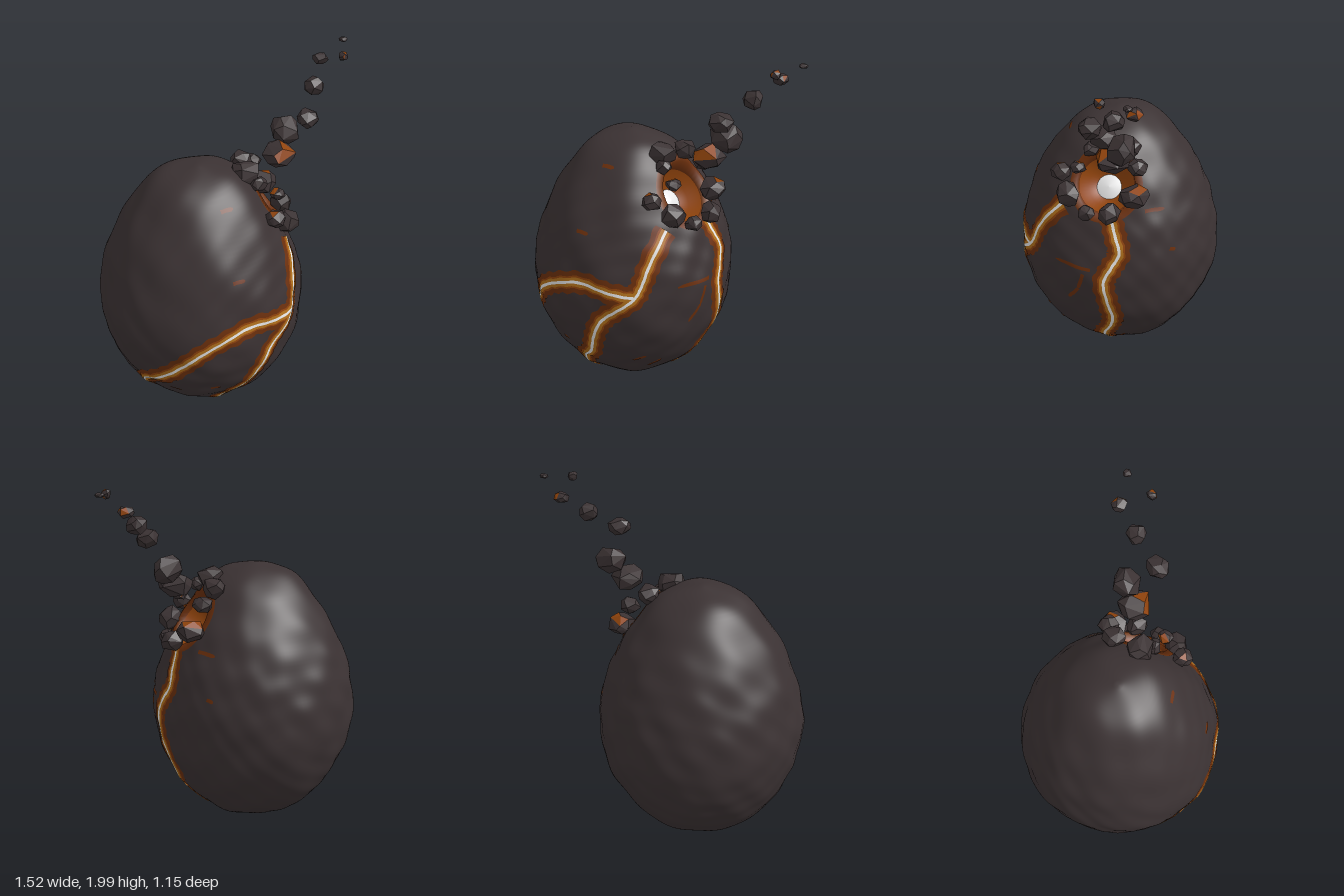
import * as THREE from 'three';
import { mergeVertices } from 'three/addons/utils/BufferGeometryUtils.js';
import { ConvexGeometry } from 'three/addons/geometries/ConvexGeometry.js';

const V = (x, y, z) => new THREE.Vector3(x, y, z);
const CENTRE = V(-0.19, 0.7, 0);

// Egg radius for every 15 degrees down from the top
const RADII = [0.83, 0.79, 0.702, 0.636, 0.596, 0.577, 0.574, 0.581, 0.596, 0.62, 0.65, 0.675, 0.69];
const radiusAt = new THREE.CubicInterpolant(RADII.map((_, i) => (i * Math.PI) / 12), RADII, 1, new Float32Array(1));

// Shell radius along a unit direction, with gentle lumps
function shellRadius(d) {
  const lumps =
    0.005 * Math.sin(7 * d.x + 3 * d.y + 1) * Math.sin(6 * d.z - 4 * d.y) +
    0.005 * Math.sin(13 * d.x - 5 * d.z) * Math.sin(11 * d.y + 6 * d.z + 2) +
    0.003 * Math.sin(21 * d.z + 9 * d.x) * Math.sin(19 * d.y - 8 * d.x);
  return radiusAt.evaluate(Math.acos(THREE.MathUtils.clamp(d.y, -1, 1)))[0] + lumps;
}

// Nearest shell point radially from p, raised by lift
function onShell(p, lift = 0) {
  const d = p.clone().sub(CENTRE).normalize();
  return d.multiplyScalar(shellRadius(d) + lift).add(CENTRE);
}

// Shell point met by a horizontal ray towards the front or the left side
function cast(face, a, y) {
  const at = (t) => (face === 'front' ? V(a, y, t) : V(CENTRE.x + t, y, a));
  let lo = 0, hi = 0.8;
  for (let i = 0; i < 24; i++) {
    const mid = (lo + hi) / 2, p = at(mid);
    if (p.distanceTo(CENTRE) < onShell(p).distanceTo(CENTRE)) lo = mid;
    else hi = mid;
  }
  return onShell(at(lo));
}

// Surface built from a grid of points
function gridGeometry(rows, cols, point) {
  const pos = [], index = [];
  for (let i = 0; i <= rows; i++)
    for (let j = 0; j <= cols; j++) {
      pos.push(...point(i, j).toArray());
      if (i < rows && j < cols) {
        const a = i * (cols + 1) + j, b = a + cols + 1;
        index.push(a, b, a + 1, b, b + 1, a + 1);
      }
    }
  const g = new THREE.BufferGeometry();
  g.setAttribute('position', new THREE.Float32BufferAttribute(pos, 3));
  g.setIndex(index);
  g.computeVertexNormals();
  return g;
}

// Thin ribbon that hugs the shell along a path
function ribbon(points, half, lift, steps) {
  const curve = new THREE.CatmullRomCurve3(points, false, 'centripetal');
  const cols = 6;
  return gridGeometry(steps, cols, (i, j) => {
    const t = i / steps;
    const p = curve.getPoint(t);
    const n = p.clone().sub(CENTRE).normalize();
    const side = n.cross(curve.getTangent(t)).normalize();
    const taper = Math.min(1, 0.35 + 10 * (1 - t));
    const ragged = 1 + 0.1 * Math.sin(i * 1.3 + (j < 3 ? 0 : 2));
    return onShell(p.addScaledVector(side, (j / cols - 0.5) * 2 * half * taper * ragged), lift);
  });
}

function seeded(seed) {
  return () => {
    seed = (seed * 16807) % 2147483647;
    return seed / 2147483647;
  };
}

// Faceted chunk; a glowing one has a few ember faces
function rockGeometry(seed, glowing) {
  const rnd = seeded(seed * 7919 + 13);
  const pts = [];
  for (let i = 0; i < 18; i++) {
    const y = 1 - (2 * (i + 0.5)) / 18, a = i * 2.4 + rnd() * 0.9, r = Math.sqrt(1 - y * y);
    pts.push(V(r * Math.cos(a), y, r * Math.sin(a)).multiplyScalar(0.88 + rnd() * 0.2));
  }
  const g = new ConvexGeometry(pts);
  const n = g.attributes.position.count, lit = glowing ? 9 : 0;
  g.addGroup(0, lit, 1);
  g.addGroup(lit, n - lit, 0);
  return g;
}

export function createModel() {
  const model = new THREE.Group();
  const mat = (name, color, extra = {}) => {
    const m = new THREE.MeshStandardMaterial({ color, ...extra });
    m.name = name;
    return m;
  };
  const rock = mat('darkRock', 0x3b3233);
  const ember = mat('darkEmber', 0x6b2f0c, { side: THREE.DoubleSide });
  const orange = mat('orangeGlow', 0x8f430c, { side: THREE.DoubleSide });
  const amber = mat('amberGlow', 0xb0701c, { side: THREE.DoubleSide });
  const white = mat('whiteHeat', 0xf2f2f2, { side: THREE.DoubleSide });
  const add = (name, geometry, material, parent = model) => {
    const m = new THREE.Mesh(geometry, material);
    m.name = name;
    parent.add(m);
    return m;
  };

  // Crater frame on the upper left of the shell
  const hole = onShell(CENTRE.clone().add(V(0.385, 0.55, 0.04)));
  const axis = V(0.78, 0.62, 0.06).normalize();
  const u = V(0, 0, 1).cross(axis).normalize();
  const v = axis.clone().cross(u);

  // Egg shell with the crater left open
  const shell = new THREE.SphereGeometry(1, 144, 96);
  shell.deleteAttribute('uv');
  shell.deleteAttribute('normal');
  const egg = mergeVertices(shell, 1e-4);
  const pos = egg.attributes.position, p = V(0, 0, 0);
  const open = [];
  for (let i = 0; i < pos.count; i++) {
    p.copy(onShell(p.fromBufferAttribute(pos, i).add(CENTRE)));
    pos.setXYZ(i, p.x, p.y, p.z);
    open.push(p.distanceTo(hole) < 0.165);
  }
  const kept = [], ids = egg.index.array;
  egg.computeVertexNormals();
  for (let i = 0; i < ids.length; i += 3) {
    const tri = [ids[i], ids[i + 1], ids[i + 2]];
    if (!tri.some((k) => open[k])) kept.push(...tri);
  }
  egg.setIndex(kept);
  add('eggShell', egg, rock);

  // Crater: rim on the shell, glowing wall, hot core
  const ring = (a, radius, depth) =>
    hole.clone().addScaledVector(u, Math.cos(a) * radius).addScaledVector(v, Math.sin(a) * radius)
      .addScaledVector(axis, -depth);
  const bowl = (levels) =>
    gridGeometry(40, levels.length - 1, (i, j) => {
      const [radius, depth] = levels[j], a = (i / 40) * Math.PI * 2;
      return depth <= 0 ? onShell(ring(a, radius, 0), -depth) : ring(a, radius, depth);
    });
  add('craterRim', bowl([[0.21, -0.004], [0.165, -0.003], [0.15, 0.06]]), ember);
  add('craterWall', bowl([[0.15, 0.06], [0.11, 0.12], [0.068, 0.15]]), orange);
  add('craterCore', bowl([[0.068, 0.15], [0.04, 0.14], [0, 0.135]]), white);

  // Glowing cracks, each four stacked bands
  const cracks = {
    mainCrack: ['front', [0.2, 1.11], [0.175, 0.945], [0.155, 0.84], [0.135, 0.78], [0.05, 0.7], [-0.035, 0.62],
      [-0.09, 0.5], [-0.14, 0.375], [-0.23, 0.275], [-0.26, 0.2], [-0.24, 0.11]],
    branchCrack: ['front', [0.135, 0.78], [0.01, 0.8], [-0.14, 0.825], [-0.31, 0.78], [-0.44, 0.7], [-0.52, 0.59],
      [-0.6, 0.47], [-0.635, 0.36], [-0.61, 0.27], [-0.55, 0.19], [-0.5, 0.15]],
    sideCrack: ['side', [0, 1.1], [-0.03, 1], [-0.055, 0.905], [-0.015, 0.825], [0.025, 0.735], [0.005, 0.6],
      [-0.02, 0.47], [0, 0.365], [0.035, 0.285], [0.035, 0.18], [0.015, 0.1]],
  };
  const bands = [['Ember', ember, 0.062, 0.003], ['Orange', orange, 0.034, 0.005],
    ['Amber', amber, 0.024, 0.007], ['Heat', white, 0.008, 0.009]];
  for (const [name, [face, ...pts]] of Object.entries(cracks)) {
    const path = pts.map(([a, y]) => cast(face, a, y));
    for (const [suffix, m, half, lift] of bands) add(name + suffix, ribbon(path, half, lift, 90), m);
  }

  // Small ember flecks: face, start, end
  const flecks = [
    ['front', -0.19, 1.395, -0.12, 1.395], ['front', -0.22, 1.09, -0.15, 1.085], ['front', -0.54, 0.37, -0.49, 0.36],
    ['front', -0.35, 0.38, -0.3, 0.39], ['front', 0.07, 0.32, 0.14, 0.36], ['side', -0.18, 1.12, -0.28, 1.115],
    ['side', 0.14, 0.77, 0.17, 0.66], ['side', 0.17, 0.66, 0.23, 0.57], ['side', 0.1, 0.8, 0.3, 0.81],
    ['side', 0.31, 0.25, 0.29, 0.31], ['side', -0.05, 0.21, -0.075, 0.25], ['side', -0.32, 0.9, -0.35, 0.89],
  ];
  for (const [face, a0, y0, a1, y1] of flecks)
    add('emberFleck', ribbon([cast(face, a0, y0), cast(face, a1, y1)], 0.01, 0.003, 8), ember);

  // Loose chunks: x, y, z, half width, half height, glowing
  const rocks = {
    rimRock: [
      [0.05, 1.45, 0.065, 0.085, 0.065], [0.1, 1.43, -0.08, 0.07, 0.06], [0.19, 1.36, -0.13, 0.06, 0.05],
      [0.26, 1.22, -0.12, 0.085, 0.07, 1], [0.225, 1.19, 0.235, 0.075, 0.07], [0.125, 1.27, 0.285, 0.06, 0.05, 1],
      [0.19, 1.34, 0.18, 0.045, 0.035, 1], [0.315, 1.14, 0, 0.065, 0.06], [0.29, 1.12, 0.13, 0.05, 0.045],
      [0.1, 1.4, 0.13, 0.05, 0.045],
    ],
    flyingRock: [
      [0.29, 1.455, -0.01, 0.1, 0.075, 1], [0.36, 1.56, -0.065, 0.088, 0.085], [0.41, 1.7, 0.085, 0.068, 0.052],
      [0.515, 1.8, -0.048, 0.058, 0.052], [0.61, 1.895, -0.153, 0.046, 0.032, 1], [0.655, 1.965, 0, 0.029, 0.027, 1],
      [0.737, 1.987, -0.138, 0.026, 0.013],
    ],
  };
  let seed = 1;
  for (const [name, list] of Object.entries(rocks))
    for (const [x, y, z, w, h, glowing] of list) {
      const m = add(name, rockGeometry(seed++, glowing), [rock, orange]);
      m.position.set(x, y, z);
      m.scale.set(w, h, w * 0.95);
      m.rotation.y = seed * 1.7;
    }
  return model;
}
